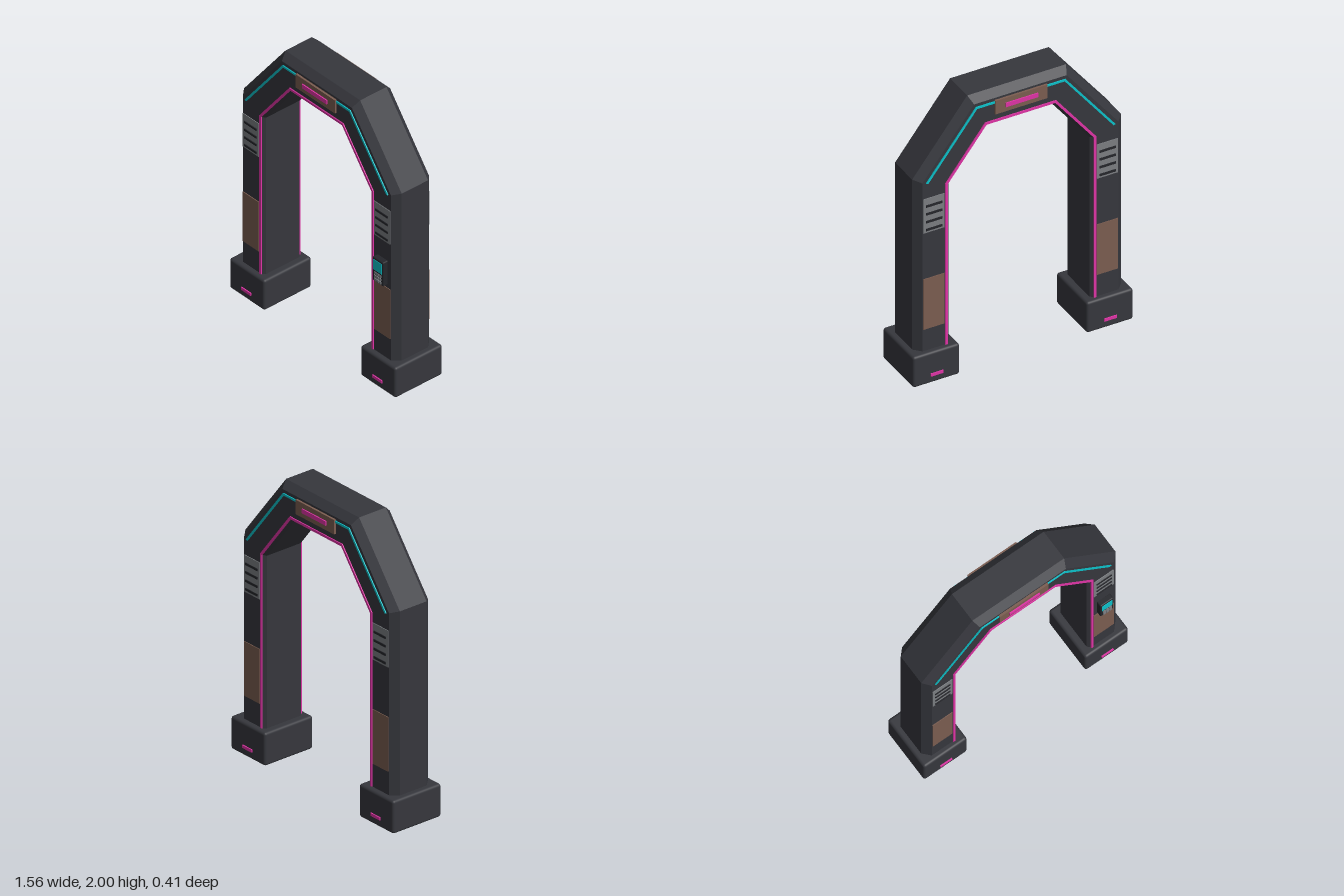
import * as THREE from 'three';
import { RoundedBoxGeometry } from 'three/addons/geometries/RoundedBoxGeometry.js';

const mat = (name, color, extra = {}) => {
  const m = new THREE.MeshStandardMaterial({ color, ...extra });
  m.name = name;
  return m;
};

// Outer and inner corners of the arch, from the left-hand foot over the top
const OUTER = [[-0.74, 0.1], [-0.74, 1.5], [-0.35, 2], [0.35, 2], [0.74, 1.5], [0.74, 0.1]];
const INNER = [[-0.5, 0.1], [-0.5, 1.42], [-0.235, 1.76], [0.235, 1.76], [0.5, 1.42], [0.5, 0.1]];
const FACE = 0.157; // front face of the arch

// Sweeps a convex cross-section of [t, z] round the arch; t runs from outer (0) to inner (1)
function sweepArch(profile, first = 0, last = 5) {
  const pos = [];
  const point = (i, j) => {
    const [t, z] = profile[j % profile.length];
    const [ox, oy] = OUTER[i], [ix, iy] = INNER[i];
    return [ox + (ix - ox) * t, oy + (iy - oy) * t, z];
  };
  const tri = (a, b, c) => pos.push(...a, ...b, ...c);
  for (let i = first; i < last; i++) {
    for (let j = 0; j < profile.length; j++) {
      const a = point(i, j), b = point(i, j + 1), c = point(i + 1, j + 1), d = point(i + 1, j);
      tri(a, b, c);
      tri(a, c, d);
    }
  }
  for (let j = 1; j < profile.length - 1; j++) {
    tri(point(first, 0), point(first, j + 1), point(first, j));
    tri(point(last, 0), point(last, j), point(last, j + 1));
  }
  const g = new THREE.BufferGeometry();
  g.setAttribute('position', new THREE.Float32BufferAttribute(pos, 3));
  g.computeVertexNormals();
  return g;
}

// Rectangular light strip lying on the front face
const strip = (t0, t1, first, last) => sweepArch(
  [[t0, FACE + 0.007], [t1, FACE + 0.007], [t1, FACE - 0.004], [t0, FACE - 0.004]], first, last);

export function createModel() {
  const root = new THREE.Group();
  root.name = 'archGate';

  const body = mat('charcoal body', 0x36373d);
  const dark = mat('dark slots', 0x25262b);
  const brown = mat('brown panel', 0x7b5d50);
  const grey = mat('grey metal', 0x7b7e82);
  const pink = mat('pink light', 0xe034a6);
  const cyan = mat('cyan light', 0x0cc2ca);

  const add = (parent, name, geometry, material, x = 0, y = 0, z = 0) => {
    const m = new THREE.Mesh(geometry, material);
    m.name = name;
    m.position.set(x, y, z);
    parent.add(m);
    return m;
  };
  // Box whose front is at z, reaching back by depth
  const plate = (parent, name, material, x, y, z, w, h, depth) =>
    add(parent, name, new THREE.BoxGeometry(w, h, depth), material, x, y, z - depth / 2);

  // Chamfered arch
  const b = 0.19, c = 0.08;
  add(root, 'archFrame', sweepArch([
    [0, 0.108], [b, FACE], [1 - c, FACE], [1, FACE - 0.02],
    [1, -FACE + 0.02], [1 - c, -FACE], [b, -FACE], [0, -0.108],
  ]), body);

  // Feet
  for (const s of [-1, 1]) {
    add(root, s > 0 ? 'leftFoot' : 'rightFoot',
      new RoundedBoxGeometry(0.33, 0.228, 0.39, 3, 0.018), body, s * 0.615, 0.114, 0);
  }

  // Fittings, identical on the front and the back
  for (const side of ['front', 'back']) {
    const g = new THREE.Group();
    g.name = side + 'Fittings';
    if (side === 'back') g.rotation.y = Math.PI;
    root.add(g);

    add(g, 'innerLightStrip', strip(0.855, 0.925, 0, 5), pink);
    add(g, 'outerLightStrip', strip(0.285, 0.345, 1, 4), cyan);
    plate(g, 'headPanel', brown, 0, 1.89, 0.172, 0.37, 0.1, 0.02);
    plate(g, 'headLight', pink, 0, 1.89, 0.18, 0.23, 0.03, 0.009);

    for (const s of [-1, 1]) {
      const x = s * 0.615;
      plate(g, 'legPanel', brown, x, 0.578, 0.162, 0.15, 0.376, 0.009);
      plate(g, 'ventPlate', grey, x, 1.237, 0.162, 0.15, 0.254, 0.009);
      for (let i = 0; i < 4; i++) {
        plate(g, 'ventSlot', dark, x, 1.133 + i * 0.0585, 0.167, 0.114, 0.016, 0.008);
      }
      plate(g, 'footLight', pink, x, 0.064, 0.203, 0.09, 0.02, 0.009);
    }
  }

  // Keypad on the front of the left leg
  const pad = new THREE.Group();
  pad.name = 'keypad';
  root.add(pad);
  add(pad, 'keypadCase', new RoundedBoxGeometry(0.1, 0.182, 0.044, 2, 0.008), dark, 0.615, 0.88, 0.173);
  plate(pad, 'keypadScreen', cyan, 0.615, 0.917, 0.198, 0.08, 0.076, 0.008);
  for (let r = 0; r < 3; r++) {
    for (let k = 0; k < 3; k++) {
      plate(pad, 'key', grey, 0.592 + k * 0.023, 0.81 + r * 0.024, 0.2, 0.019, 0.018, 0.009);
    }
  }

  return root;
}
